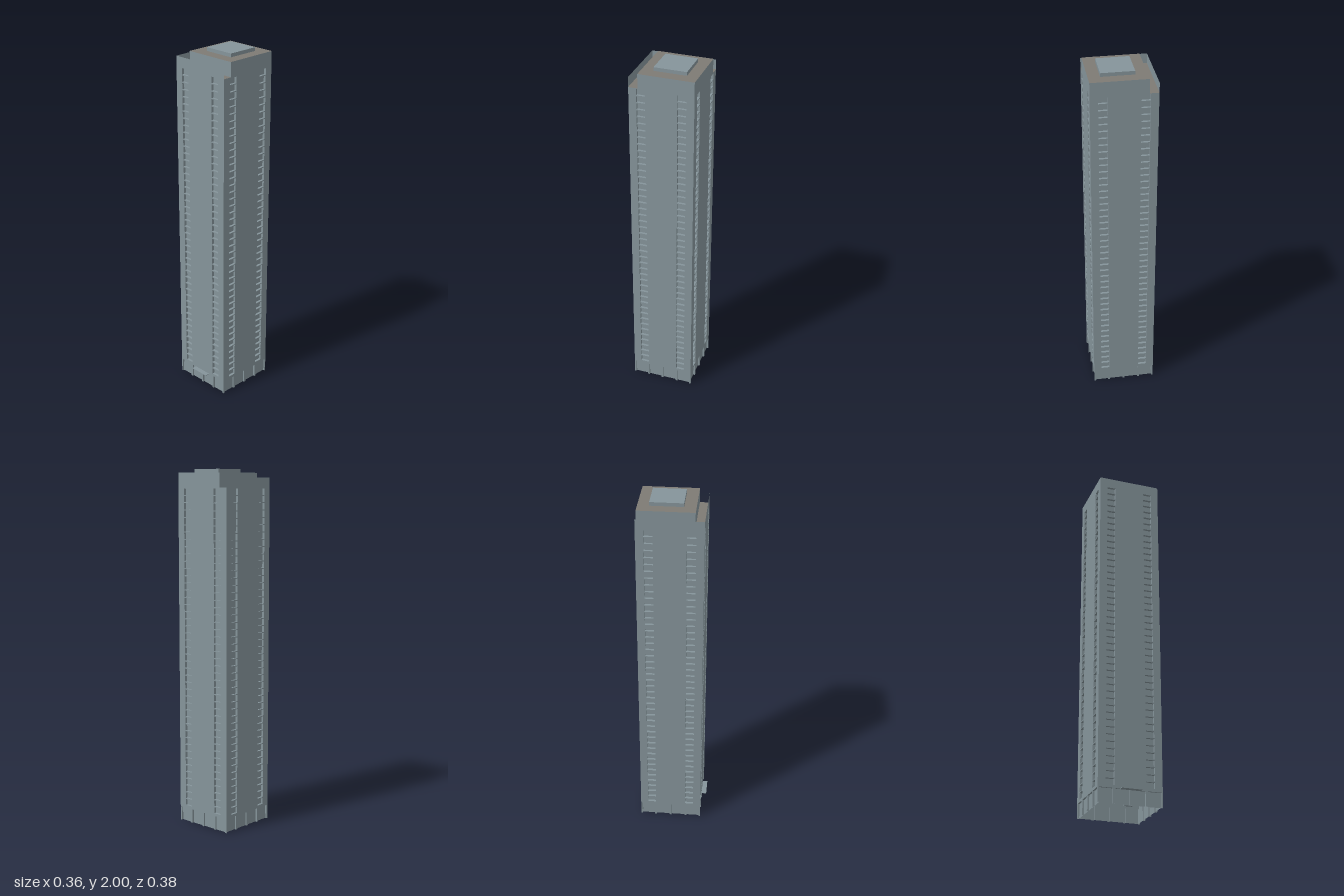
import * as THREE from 'three';
import { mergeGeometries } from 'three/addons/utils/BufferGeometryUtils.js';

const HALF = 0.178;        // half the tower width
const CZ = -0.015;         // tower centre in z
const TERRACE = 1.9, PARAPET = 1.955, CROWN = 1.98;
const ROWS = 45, PITCH = 0.0401, ROW0 = 0.096, CELL_W = 0.048, CELL_H = 0.035;
const BAY_H = 0.08, BAY_D = 0.01;

// Box lining of a recess, open at the listed faces (0 +x, 1 -x, 2 +y, 3 -y, 4 +z, 5 -z)
function recess(w, h, d, x, y, openFaces) {
  const g = new THREE.BoxGeometry(w, h, d);
  const index = Array.from(g.index.array).filter((_, i) => !openFaces.includes(Math.floor(i / 6)));
  g.setIndex(index);
  g.clearGroups();
  g.translate(x, y + h / 2, -d / 2);
  return g;
}

// One facade: a sheet with window columns and shopfront bays set back into it
function facade(top) {
  const parts = [];
  const shape = new THREE.Shape();
  shape.moveTo(-HALF, 0);
  const bays = [[-0.17, -0.095], [-0.083, -0.006], [0.006, 0.083], [0.095, 0.17]];
  for (const [a, b] of bays) {
    shape.lineTo(a, 0);
    shape.lineTo(a, BAY_H);
    shape.lineTo(b, BAY_H);
    shape.lineTo(b, 0);
    parts.push(recess(b - a, BAY_H, BAY_D, (a + b) / 2, 0, [3, 4]));
  }
  shape.lineTo(HALF, 0);
  shape.lineTo(HALF, top);
  shape.lineTo(-HALF, top);
  shape.closePath();

  for (const x of [-0.111, 0.111]) {
    for (let i = 0; i < ROWS; i++) {
      const y = ROW0 + i * PITCH, l = x - CELL_W / 2, r = x + CELL_W / 2;
      const hole = new THREE.Path();
      hole.moveTo(l, y);
      hole.lineTo(l, y + CELL_H);
      hole.lineTo(r, y + CELL_H);
      hole.lineTo(r, y);
      hole.closePath();
      shape.holes.push(hole);
      parts.push(recess(CELL_W, CELL_H, 0.014, x, y, [4]));
    }
  }
  parts.push(new THREE.ShapeGeometry(shape));
  return mergeGeometries(parts);
}

export function createModel() {
  const model = new THREE.Group();
  model.name = 'tower';

  const wall = new THREE.MeshStandardMaterial({ color: 0x85949a, side: THREE.DoubleSide });
  wall.name = 'blue grey cladding';
  const roof = new THREE.MeshStandardMaterial({ color: 0x7d7a74, side: THREE.DoubleSide });
  roof.name = 'brown grey roofing';

  const add = (name, geometry, material, x, y, z) => {
    const mesh = new THREE.Mesh(geometry, material);
    mesh.name = name;
    mesh.position.set(x, y, z);
    model.add(mesh);
    return mesh;
  };

  // Four facades; the front and the -x one rise above the terrace as parapets
  const low = facade(TERRACE), high = facade(PARAPET);
  const sides = [
    ['frontFacade', high, 0], ['leftHandFacade', high, -Math.PI / 2],
    ['backFacade', low, Math.PI], ['rightHandFacade', low, Math.PI / 2],
  ];
  for (const [name, geometry, angle] of sides) {
    const mesh = add(name, geometry, wall, Math.sin(angle) * HALF, 0, CZ + Math.cos(angle) * HALF);
    mesh.rotation.y = angle;
  }

  // Terrace, set-back crown and rooftop plant box
  const terrace = new THREE.PlaneGeometry(2 * HALF, 2 * HALF).rotateX(-Math.PI / 2);
  add('terrace', terrace, roof, 0, TERRACE, CZ);
  add('crown', new THREE.BoxGeometry(0.306, CROWN - TERRACE, 0.305),
    [wall, wall, roof, wall, wall, wall], 0.025, (CROWN + TERRACE) / 2, -0.0405);
  add('plantBox', new THREE.BoxGeometry(0.179, 0.02, 0.179), wall, 0.0255, 1.99, -0.0415);

  // Thin canopy above the entrance
  add('entranceCanopy', new THREE.BoxGeometry(0.113, 0.003, 0.028), wall, 0, 0.079, 0.177);

  return model;
}
